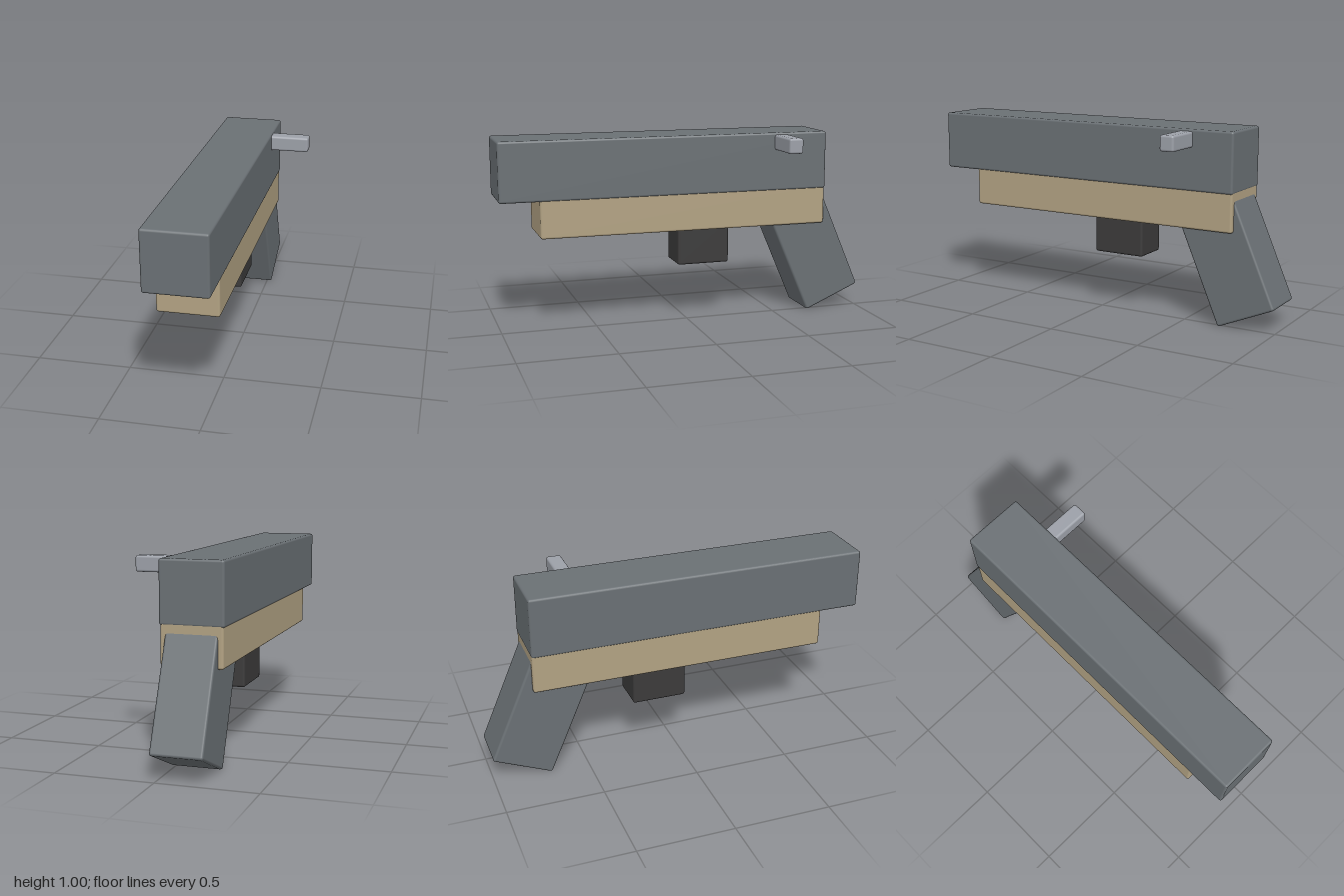
import * as THREE from 'three';
import { RoundedBoxGeometry } from 'three/addons/geometries/RoundedBoxGeometry.js';

function material(name, color) {
  const m = new THREE.MeshStandardMaterial({ color });
  m.name = name;
  return m;
}

// Softly bevelled block given by its extents along each axis
function block(name, mat, [x0, x1], [y0, y1], [z0, z1]) {
  const geometry = new RoundedBoxGeometry(x1 - x0, y1 - y0, z1 - z0, 2, 0.012);
  const mesh = new THREE.Mesh(geometry, mat);
  mesh.name = name;
  mesh.position.set((x0 + x1) / 2, (y0 + y1) / 2, (z0 + z1) / 2);
  return mesh;
}

export function createModel() {
  const slate = material('slate grey', 0x6a7074);
  const tan = material('tan', 0xb2a283);
  const charcoal = material('charcoal', 0x3c3b3b);
  const steel = material('light steel', 0x9ca0a8);

  const model = new THREE.Group();
  model.name = 'blockBlaster';

  // Long upper body and the lower frame beneath it
  model.add(block('upperBody', slate, [-0.264, 0.057], [0.692, 1.004], [-0.777, 1]));
  model.add(block('lowerFrame', tan, [-0.259, 0.052], [0.497, 0.72], [-0.775, 0.792]));

  // Short magazine under the frame
  model.add(block('magazine', charcoal, [-0.202, -0.005], [0.3, 0.53], [-0.24, 0.046]));

  // Side handle on the left
  model.add(block('sideHandle', steel, [0.03, 0.262], [0.912, 0.993], [-0.556, -0.478]));

  // Grip raked backwards
  const grip = block('grip', slate, [-0.233, 0.027], [0.04, 0.66], [-0.892, -0.562]);
  grip.rotation.x = THREE.MathUtils.degToRad(23.3);
  model.add(grip);

  return model;
}
